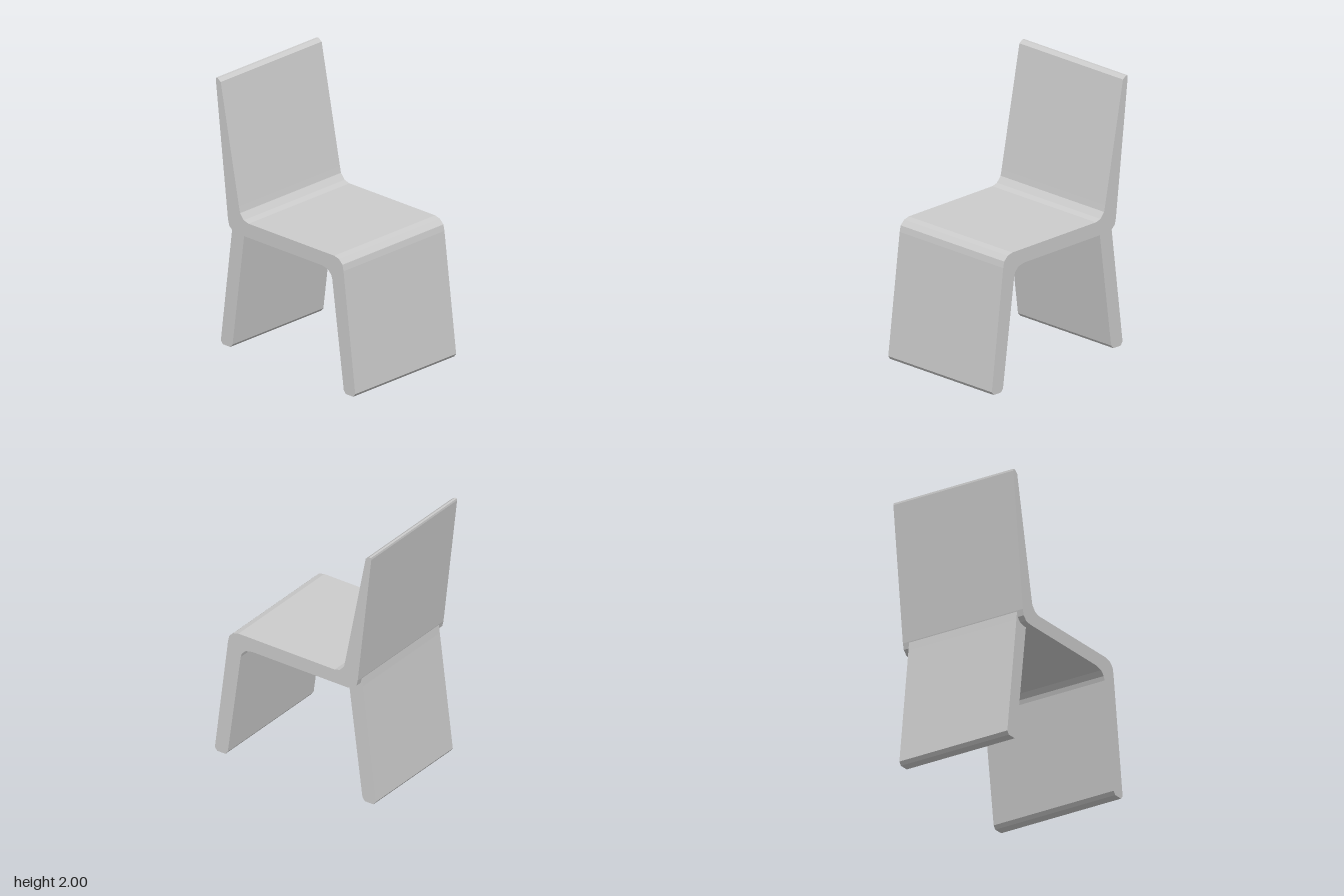
import * as THREE from 'three';

// Extrudes a side profile of [z, y] points across x, centred on x = 0
function slab(name, profile, width, material) {
  const shape = new THREE.Shape(profile.map(([z, y]) => new THREE.Vector2(-z, y)));
  const geometry = new THREE.ExtrudeGeometry(shape, { depth: width, bevelEnabled: false });
  geometry.translate(0, 0, -width / 2);
  geometry.rotateY(Math.PI / 2);
  const mesh = new THREE.Mesh(geometry, material);
  mesh.name = name;
  return mesh;
}

export function createModel() {
  const chair = new THREE.Group();
  chair.name = 'chair';
  const grey = new THREE.MeshStandardMaterial({ color: 0xcccccc });
  grey.name = 'light grey';

  // Front leg, seat and backrest as one bent sheet
  chair.add(slab('seatShell', [
    // foot
    [0.667, 0.025], [0.648, 0], [0.577, 0], [0.557, 0.025],
    // inner bend under the seat
    [0.447, 0.82], [0.437, 0.85], [0.405, 0.882], [0.35, 0.895],
    // rear bend
    [-0.465, 0.895], [-0.51, 0.905], [-0.54, 0.935], [-0.551, 0.98],
    // top edge of the backrest
    [-0.667, 1.985], [-0.665, 2], [-0.648, 2], [-0.62, 1.98],
    // bend between backrest and seat
    [-0.445, 1.1], [-0.435, 1.055], [-0.4, 1.013], [-0.355, 1],
    // front bend
    [0.466, 1], [0.511, 0.988], [0.545, 0.955], [0.555, 0.91],
  ], 1, grey));

  // Narrower rear leg, its top sunk into the rear bend
  chair.add(slab('rearLeg', [
    [-0.44, 0.9], [-0.555, 0.025], [-0.577, 0], [-0.648, 0], [-0.667, 0.025],
    [-0.556, 0.91], [-0.549, 0.975], [-0.5, 0.975],
  ], 0.9, grey));

  return chair;
}
